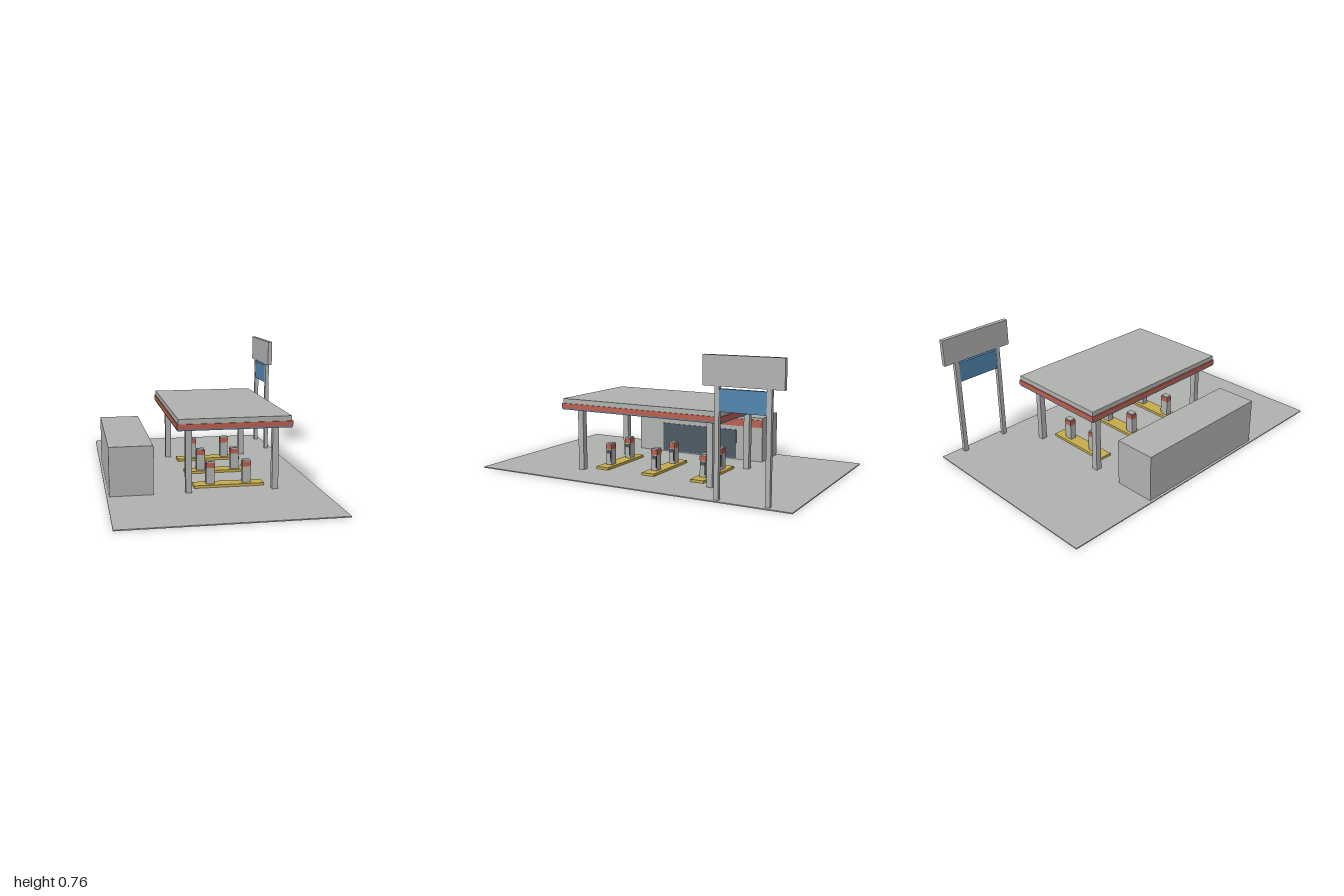
import * as THREE from 'three';

const mat = (name, color) => {
  const m = new THREE.MeshStandardMaterial({ color });
  m.name = name;
  return m;
};

export function createModel() {
  const grey = mat('concreteGrey', 0xb0b2b0);
  const red = mat('trimRed', 0xb8604f);
  const blue = mat('panelBlue', 0x4f86b0);
  const yellow = mat('kerbYellow', 0xc6ac4c);
  const glass = mat('glassDark', 0x4d5963);
  const black = mat('hoseBlack', 0x2b2d30);

  const model = new THREE.Group();
  model.name = 'fuelStation';

  const group = (name, x = 0, z = 0) => {
    const g = new THREE.Group();
    g.name = name;
    g.position.set(x, 0, z);
    model.add(g);
    return g;
  };
  // Box given by its lower and upper limits on each axis
  const box = (parent, name, material, [x0, x1], [y0, y1], [z0, z1]) => {
    const mesh = new THREE.Mesh(new THREE.BoxGeometry(x1 - x0, y1 - y0, z1 - z0), material);
    mesh.position.set((x0 + x1) / 2, (y0 + y1) / 2, (z0 + z1) / 2);
    mesh.name = name;
    parent.add(mesh);
  };

  box(model, 'forecourt', grey, [-0.605, 0.605], [0, 0.006], [-1, 1]);

  // Shop with glazing and a trim band facing the pumps
  const shop = group('shop');
  box(shop, 'shopBody', grey, [-0.59, -0.343], [0.006, 0.286], [-0.446, 0.446]);
  box(shop, 'shopBand', red, [-0.343, -0.338], [0.224, 0.272], [-0.446, 0.446]);
  box(shop, 'shopWindow', glass, [-0.343, -0.339], [0.012, 0.197], [-0.268, 0.268]);

  // Canopy: soffit, trim band, roof slab and four columns
  const canopy = group('canopy');
  box(canopy, 'canopySoffit', blue, [-0.219, 0.429], [0.377, 0.384], [-0.521, 0.521]);
  box(canopy, 'canopyBand', red, [-0.221, 0.431], [0.384, 0.414], [-0.523, 0.523]);
  box(canopy, 'canopyRoof', grey, [-0.215, 0.425], [0.414, 0.442], [-0.517, 0.517]);
  for (const x of [-0.145, 0.354])
    for (const z of [-0.431, 0.431])
      box(canopy, 'column', grey, [x - 0.018, x + 0.018], [0.006, 0.377], [z - 0.018, z + 0.018]);

  // Three islands, each with two pumps
  for (const z of [-0.322, 0, 0.322]) {
    const island = group('pumpIsland', 0, z);
    box(island, 'kerb', yellow, [-0.1, 0.312], [0.006, 0.021], [-0.042, 0.042]);
    for (const x of [-0.002, 0.212]) {
      const pump = new THREE.Group();
      pump.name = 'pump';
      pump.position.x = x;
      island.add(pump);
      box(pump, 'pumpBody', grey, [-0.025, 0.025], [0.021, 0.117], [-0.019, 0.019]);
      box(pump, 'pumpBand', red, [-0.026, 0.026], [0.117, 0.146], [-0.02, 0.02]);
      box(pump, 'pumpCap', grey, [-0.023, 0.023], [0.146, 0.154], [-0.018, 0.018]);
      box(pump, 'pumpScreen', glass, [0.025, 0.027], [0.09, 0.111], [-0.015, 0.015]);
      box(pump, 'pumpHose', black, [0.025, 0.029], [0.04, 0.11], [-0.018, -0.012]);
    }
  }

  // Tall price sign on two posts
  const sign = group('priceSign', 0.57);
  box(sign, 'signBoard', grey, [-0.013, 0.013], [0.601, 0.76], [-0.939, -0.492]);
  box(sign, 'signPanel', blue, [-0.009, 0.009], [0.47, 0.589], [-0.847, -0.585]);
  for (const z of [-0.859, -0.573])
    box(sign, 'signPost', grey, [-0.012, 0.012], [0.006, 0.601], [z - 0.013, z + 0.013]);

  return model;
}
